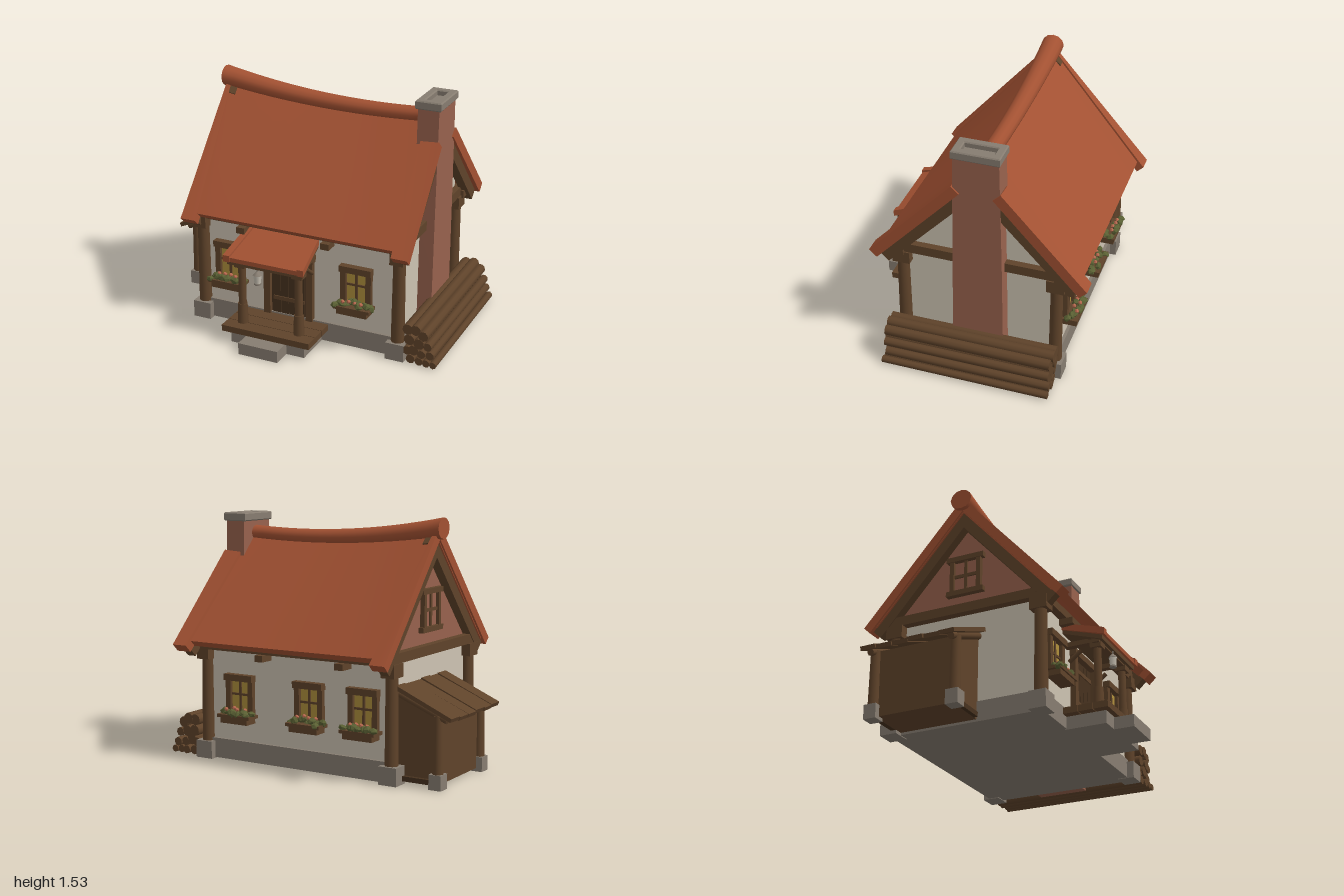
import * as THREE from 'three';
import { toCreasedNormals } from 'three/addons/utils/BufferGeometryUtils.js';

const paint = (name, color) => Object.assign(new THREE.MeshStandardMaterial({ color }), { name });
const M = {
  roof: paint('roofTile', 0xa25132), wood: paint('wood', 0x5f432a), dark: paint('darkWood', 0x46311e),
  plaster: paint('plaster', 0xcdc3b2), stone: paint('stone', 0x877d71), brick: paint('brick', 0x98624d),
  glass: paint('windowGlow', 0xb08f3c), leaf: paint('leaf', 0x5a6033), flower: paint('flower', 0xb8694f),
  lamp: paint('lampGlass', 0xc9c2b4),
};
const V = (x, y, z) => new THREE.Vector3(x, y, z);
let seed = 7;
const rnd = () => (seed = (seed * 16807) % 2147483647) / 2147483647 - 0.5;

function add(parent, name, geo, mat, x = 0, y = 0, z = 0) {
  const mesh = new THREE.Mesh(geo, mat);
  mesh.name = name;
  mesh.position.set(x, y, z);
  parent.add(mesh);
  return mesh;
}

// Box given by its limits on each axis
function span(parent, name, mat, [x0, x1], [y0, y1], [z0, z1]) {
  return add(parent, name, new THREE.BoxGeometry(x1 - x0, y1 - y0, z1 - z0), mat, (x0 + x1) / 2, (y0 + y1) / 2, (z0 + z1) / 2);
}

// Capped solid through rings of equal point count, turned outward whatever the ring order
function loft(rings) {
  const n = rings[0].length, tris = [];
  for (let i = 0; i < rings.length - 1; i++) {
    for (let j = 0; j < n; j++) {
      const k = (j + 1) % n, a = rings[i][j], b = rings[i][k], c = rings[i + 1][k], d = rings[i + 1][j];
      tris.push([a, b, c], [a, c, d]);
    }
  }
  const last = rings[rings.length - 1];
  for (let j = 1; j < n - 1; j++) tris.push([rings[0][0], rings[0][j + 1], rings[0][j]], [last[0], last[j], last[j + 1]]);
  const volume = tris.reduce((s, [a, b, c]) => s + a.dot(b.clone().cross(c)), 0);
  if (volume < 0) tris.forEach((t) => t.reverse());
  const geo = new THREE.BufferGeometry().setFromPoints(tris.flat());
  geo.computeVertexNormals();
  return toCreasedNormals(geo, 0.6);
}

// Round bar between two points
function bar(parent, name, mat, a, b, r0, r1 = r0, sides = 10) {
  const dir = b.clone().sub(a), mid = a.clone().add(b).multiplyScalar(0.5);
  const mesh = add(parent, name, new THREE.CylinderGeometry(r1, r0, dir.length(), sides), mat, mid.x, mid.y, mid.z);
  mesh.quaternion.setFromUnitVectors(V(0, 1, 0), dir.normalize());
  return mesh;
}

// Sagging roof surface: t runs from ridge (0) to eave (1), h is the offset along the normal
const RIDGE_Z = -0.11;
const ridgeY = (x) => 1.385 + 0.09 * (x - 0.28) ** 2;
const onRoof = (x, t, h, side) => V(x, THREE.MathUtils.lerp(ridgeY(x), 0.74, t) + h * 0.69, RIDGE_Z + side * (0.64 * t + h * 0.73));

// Sloping slab; left and right edges are [at t0, at t1]
function slope(parent, name, mat, side, [l0, l1], [r0, r1], [t0, t1], [h0, h1], steps = 12) {
  const rings = [];
  for (let i = 0; i <= steps; i++) {
    const top = THREE.MathUtils.lerp(l0, r0, i / steps), low = THREE.MathUtils.lerp(l1, r1, i / steps);
    rings.push([onRoof(top, t0, h1, side), onRoof(low, t1, h1, side), onRoof(low, t1, h0, side), onRoof(top, t0, h0, side)]);
  }
  return add(parent, name, loft(rings), mat);
}

// Window with frame and planted box, facing +z
function makeWindow(parent, name, x, z, turn = 0) {
  const g = new THREE.Group();
  g.name = name;
  g.position.set(x, 0, z);
  g.rotation.y = turn;
  parent.add(g);
  span(g, 'pane', M.glass, [-0.08, 0.08], [0.3, 0.52], [0, 0.008]);
  span(g, 'lintel', M.wood, [-0.105, 0.105], [0.51, 0.55], [-0.01, 0.045]);
  for (const s of [-1, 1]) span(g, 'jamb', M.wood, [s * 0.083 - 0.018, s * 0.083 + 0.018], [0.28, 0.515], [-0.01, 0.03]);
  span(g, 'mullion', M.wood, [-0.008, 0.008], [0.3, 0.52], [0, 0.016]);
  span(g, 'crossbar', M.wood, [-0.08, 0.08], [0.418, 0.432], [0, 0.016]);
  span(g, 'sill', M.wood, [-0.12, 0.12], [0.285, 0.305], [0, 0.1]);
  span(g, 'planter', M.wood, [-0.1, 0.1], [0.25, 0.29], [0, 0.09]);
  for (let i = 0; i < 11; i++) {
    const leaf = add(g, 'leaves', new THREE.IcosahedronGeometry(0.027, 0), M.leaf, -0.11 + i * 0.022, 0.312 + rnd() * 0.025, 0.06 + rnd() * 0.06);
    leaf.scale.set(1.1, 0.75, 1);
    leaf.rotation.set(rnd() * 3, rnd() * 3, rnd());
  }
  for (let i = 0; i < 4; i++) add(g, 'flower', new THREE.IcosahedronGeometry(0.014, 0), M.flower, -0.06 + i * 0.04, 0.34 + rnd() * 0.01, 0.06 + rnd() * 0.05);
}

export function createModel() {
  const house = new THREE.Group();
  house.name = 'cottage';

  // Walls and gables
  span(house, 'foundation', M.stone, [-0.61, 0.74], [0.005, 0.13], [-0.59, 0.4]);
  span(house, 'walls', M.plaster, [-0.59, 0.715], [0.13, 0.74], [-0.57, 0.38]);
  for (const [name, mat, x, peak] of [['rightGable', M.plaster, 0.67, 1.32], ['leftGable', M.brick, -0.59, 1.37]]) {
    const ring = (gx) => [V(gx, 0.72, 0.38), V(gx, 0.82, 0.38), V(gx, peak, RIDGE_Z), V(gx, 0.82, -0.58), V(gx, 0.72, -0.58)];
    add(house, name, loft([ring(x), ring(x + 0.045)]), mat);
  }

  // Corner posts on stone feet, with carrying beams
  for (const x of [-0.605, 0.725]) {
    for (const z of [0.39, -0.575]) {
      span(house, 'postFoot', M.stone, [x - 0.06, x + 0.06], [0, 0.11], [z - 0.055, z + 0.055]);
      bar(house, 'cornerPost', M.wood, V(x, 0.1, z), V(x, 0.7, z), 0.042, 0.037);
      span(house, 'postHead', M.wood, [x - 0.044, x + 0.044], [0.63, 0.71], [z - 0.055, z + 0.055]);
    }
    span(house, 'tieBeam', M.wood, [x - 0.035, x + 0.035], [0.71, 0.77], [-0.62, 0.43]);
  }
  for (const z of [0.4, -0.6]) {
    span(house, 'eaveBeam', M.wood, [-0.62, 0.78], [0.695, 0.745], [z - 0.03, z + 0.03]);
    for (const x of [-0.3, 0.27]) span(house, 'joistEnd', M.wood, [x - 0.028, x + 0.028], [0.655, 0.695], [z - 0.07, z + 0.07]);
  }

  // Roof slopes, verge strips and barge boards
  for (const s of [1, -1]) {
    slope(house, 'roofSlope', M.roof, s, [-0.655, -0.655], [0.68, 0.76], [0, 0.975], [-0.05, 0]);
    slope(house, 'leftVerge', M.roof, s, [-0.665, -0.67], [-0.64, -0.57], [0, 1.03], [-0.045, 0.012], 2);
    slope(house, 'rightVerge', M.roof, s, [0.7, 0.735], [0.82, 0.835], [0.21, 1.03], [-0.045, 0.02], 2);
    slope(house, 'rightBargeBoard', M.wood, s, [0.745, 0.745], [0.805, 0.805], [0.18, 1.01], [-0.115, -0.045], 2);
    slope(house, 'leftBargeBoard', M.wood, s, [-0.645, -0.645], [-0.59, -0.59], [0, 1.01], [-0.115, -0.045], 2);
  }
  const roll = [];
  for (let i = 0; i <= 16; i++) {
    const x = -0.69 + (i / 16) * 1.37, r = 0.047 + 0.018 * (1 - i / 16) ** 2;
    roll.push(Array.from({ length: 12 }, (_, j) => V(x, ridgeY(x) - 0.005 + r * Math.sin(j * Math.PI / 6), RIDGE_Z + r * 1.1 * Math.cos(j * Math.PI / 6))));
  }
  add(house, 'ridgeRoll', loft(roll), M.roof);

  // Chimney with a hollow stone cap
  const flue = (y, d) => [V(0.675, y, RIDGE_Z - d), V(0.81, y, RIDGE_Z - d), V(0.81, y, RIDGE_Z + d), V(0.675, y, RIDGE_Z + d)];
  add(house, 'chimney', loft([flue(0.01, 0.162), flue(0.8, 0.152), flue(1.48, 0.138)]), M.brick);
  const cap = new THREE.Shape([[-0.083, -0.148], [0.083, -0.148], [0.083, 0.148], [-0.083, 0.148]].map((p) => new THREE.Vector2(...p)));
  cap.holes.push(new THREE.Path([[-0.035, -0.1], [-0.035, 0.1], [0.035, 0.1], [0.035, -0.1]].map((p) => new THREE.Vector2(...p))));
  const capGeo = new THREE.ExtrudeGeometry(cap, { depth: 0.04, bevelEnabled: true, bevelSize: 0.006, bevelThickness: 0.007, bevelOffset: -0.006, bevelSegments: 1 });
  add(house, 'chimneyCap', capGeo.rotateX(-Math.PI / 2), M.stone, 0.742, 1.477, RIDGE_Z);
  span(house, 'flueFloor', M.stone, [0.7, 0.785], [1.482, 1.49], [-0.22, 0]);

  // Windows
  for (const x of [-0.415, 0.45]) makeWindow(house, 'frontWindow', x, 0.38);
  for (const x of [-0.42, -0.04, 0.47]) makeWindow(house, 'backWindow', x, -0.57, Math.PI);
  span(house, 'gablePane', M.brick, [-0.6, -0.592], [0.87, 1.07], [-0.19, -0.03]);
  for (const z of [-0.2, -0.02]) span(house, 'gableJamb', M.wood, [-0.62, -0.58], [0.85, 1.09], [z - 0.014, z + 0.014]);
  for (const y of [0.86, 1.09]) span(house, 'gableRail', M.wood, [-0.625, -0.58], [y - 0.016, y + 0.016], [-0.235, 0.015]);
  span(house, 'gableMullion', M.wood, [-0.61, -0.58], [0.86, 1.08], [-0.12, -0.1]);
  span(house, 'gableCrossbar', M.wood, [-0.61, -0.58], [0.965, 0.985], [-0.2, -0.02]);

  // Door
  span(house, 'doorway', M.dark, [-0.14, 0.13], [0.12, 0.53], [0.375, 0.387]);
  for (let i = 0; i < 4; i++) span(house, 'doorPlank', M.dark, [-0.115 + i * 0.055, -0.063 + i * 0.055], [0.13, 0.51], [0.38, 0.395]);
  for (const y of [0.22, 0.43]) span(house, 'doorBatten', M.wood, [-0.11, 0.1], [y, y + 0.025], [0.39, 0.402]);
  for (const x of [-0.15, 0.14]) span(house, 'doorJamb', M.wood, [x - 0.022, x + 0.022], [0.12, 0.55], [0.37, 0.415]);
  span(house, 'doorLintel', M.wood, [-0.18, 0.17], [0.52, 0.56], [0.37, 0.425]);

  // Porch floor, step, posts and roof
  span(house, 'porchBase', M.stone, [-0.28, 0.22], [0, 0.08], [0.39, 0.65]);
  span(house, 'step', M.stone, [-0.165, 0.1], [0, 0.075], [0.64, 0.775]);
  for (let i = 0; i < 3; i++) span(house, 'porchPlank', M.wood, [-0.33, 0.265], [0.08, 0.12], [0.4 + i * 0.095, 0.491 + i * 0.095]);
  for (const x of [-0.23, 0.155]) {
    bar(house, 'porchPostFoot', M.wood, V(x, 0.12, 0.585), V(x, 0.25, 0.585), 0.035, 0.03);
    bar(house, 'porchPost', M.wood, V(x, 0.25, 0.585), V(x, 0.53, 0.585), 0.025, 0.024);
    span(house, 'porchPostHead', M.wood, [x - 0.035, x + 0.035], [0.5, 0.55], [0.55, 0.62]);
    span(house, 'porchRail', M.wood, [x - 0.02, x + 0.02], [0.54, 0.57], [0.38, 0.62]);
    bar(house, 'porchBrace', M.wood, V(x, 0.51, 0.48), V(x, 0.45, 0.4), 0.014, 0.014, 8);
  }
  span(house, 'porchBeam', M.wood, [-0.28, 0.2], [0.525, 0.56], [0.57, 0.615]);
  const porchSlab = (name, mat, l0, l1, r0, r1, lo, hi, end) => {
    const ring = (a, b) => [V(a, 0.655 + hi, 0.38), V(b, 0.56 + hi, end), V(b, 0.56 + lo, end), V(a, 0.655 + lo, 0.38)];
    add(house, name, loft([ring(l0, l1), ring(r0, r1)]), mat);
  };
  porchSlab('porchRoofBoards', M.wood, -0.28, -0.3, 0.19, 0.21, -0.035, -0.008, 0.645);
  porchSlab('porchRoof', M.roof, -0.285, -0.31, 0.19, 0.215, -0.01, 0.018, 0.66);
  porchSlab('porchVergeLeft', M.roof, -0.29, -0.318, -0.25, -0.275, -0.012, 0.03, 0.665);
  porchSlab('porchVergeRight', M.roof, 0.155, 0.18, 0.195, 0.222, -0.012, 0.03, 0.665);

  // Hanging lantern
  bar(house, 'lanternGlass', M.lamp, V(-0.1, 0.43, 0.63), V(-0.1, 0.485, 0.63), 0.02, 0.025, 6);
  bar(house, 'lanternTop', M.stone, V(-0.1, 0.485, 0.63), V(-0.1, 0.51, 0.63), 0.03, 0.006, 6);
  bar(house, 'lanternBase', M.stone, V(-0.1, 0.422, 0.63), V(-0.1, 0.432, 0.63), 0.023, 0.023, 6);
  bar(house, 'lanternHook', M.stone, V(-0.1, 0.5, 0.63), V(-0.1, 0.56, 0.63), 0.004, 0.004, 6);

  // Lean-to shed
  const shedRing = (z) => [V(-0.89, 0.02, z), V(-0.6, 0.02, z), V(-0.6, 0.55, z), V(-0.89, 0.43, z)];
  add(house, 'shedBody', loft([shedRing(-0.53), shedRing(-0.02)]), M.wood);
  for (const z of [-0.54, -0.01]) {
    span(house, 'shedFoot', M.stone, [-0.93, -0.85], [0, 0.09], [z - 0.04, z + 0.04]);
    bar(house, 'shedPost', M.wood, V(-0.89, 0.08, z), V(-0.89, 0.43, z), 0.034, 0.03);
    bar(house, 'shedRafter', M.wood, V(-0.95, 0.405, z), V(-0.62, 0.54, z), 0.022, 0.022, 8);
    span(house, 'shedSill', M.dark, [-0.86, -0.64], [0.02, 0.05], [z - 0.015, z + 0.015]);
  }
  for (let i = 0; i < 6; i++) {
    const plank = add(house, 'shedRoofPlank', new THREE.BoxGeometry(0.4, 0.025, 0.1), M.wood, -0.81, 0.492 + rnd() * 0.008, -0.528 + i * 0.103);
    plank.rotation.set(0, rnd() * 0.06, 0.4);
  }

  // Stacked logs: [x, y, radius]
  const logs = [[0.81, 0.23, 0.036], [0.862, 0.235, 0.035], [0.91, 0.205, 0.034], [0.818, 0.16, 0.036], [0.885, 0.15, 0.036],
    [0.938, 0.138, 0.028], [0.85, 0.098, 0.034], [0.9, 0.08, 0.028], [0.95, 0.075, 0.028], [0.805, 0.085, 0.03],
    [0.828, 0.032, 0.03], [0.885, 0.03, 0.027], [0.932, 0.028, 0.025], [0.977, 0.026, 0.023]];
  for (const [x, y, r] of logs) bar(house, 'log', M.wood, V(x, y, -0.6 + rnd() * 0.02), V(x, y, 0.445 + rnd() * 0.02), r, r * 0.95, 9);

  return house;
}
